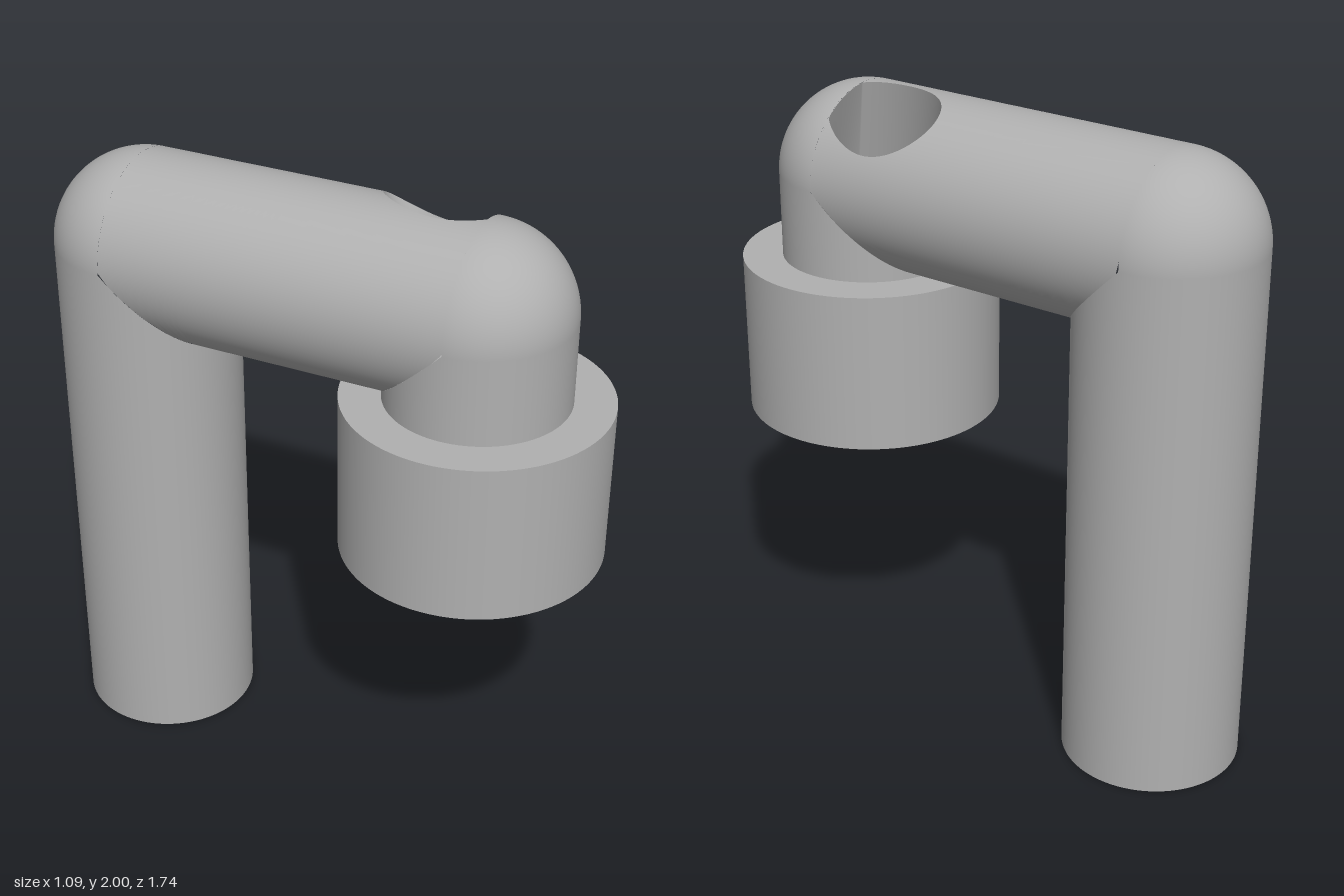
import * as THREE from 'three';
import { mergeGeometries } from 'three/addons/utils/BufferGeometryUtils.js';
import { ParametricGeometry } from 'three/addons/geometries/ParametricGeometry.js';

const R = 0.285;                 // pipe radius
const AXIS_Y = 1.715;            // height of the horizontal arm
const REAR = { x: -0.265, z: -0.585 };
const FRONT = { x: 0.132, z: 0.457 };
const L = Math.hypot(FRONT.x - REAR.x, FRONT.z - REAR.z);
const TURN = Math.atan2(FRONT.x - REAR.x, FRONT.z - REAR.z);

// World x, z to the arm's frame, where +z runs from the rear to the front elbow
function toLocal(x, z) {
  const dx = x - REAR.x, dz = z - REAR.z, c = Math.cos(TURN), s = Math.sin(TURN);
  return { x: dx * c - dz * s, z: dx * s + dz * c };
}

// Walk round the square [-1, 1] x [-1, 1], anticlockwise from one corner
function square(u) {
  const side = Math.min(3, Math.floor(u * 4)), f = (u * 4 - side) * 2 - 1;
  return [[1, f], [-f, 1], [-1, -f], [f, -1]][side];
}

// Rim of the slanted drilled opening, in the arm's frame
function rim(a) {
  const p = toLocal(
    0.18 + 0.141 * (1 + 0.12 * Math.sin(a)) * Math.cos(a),
    0.257 + 0.196 * Math.sin(a) + 0.035 * Math.cos(a));
  return { x: p.x, z: Math.min(p.z, L - 0.003) };
}

export function createModel() {
  const model = new THREE.Group();
  const grey = new THREE.MeshStandardMaterial({ color: 0xb0b0b0 });
  grey.name = 'grey';

  const pipe = new THREE.Group();
  pipe.name = 'bentPipe';
  pipe.position.set(REAR.x, AXIS_Y, REAR.z);
  pipe.rotation.y = TURN;
  model.add(pipe);

  const add = (parent, name, geometry) => {
    const mesh = new THREE.Mesh(geometry, grey);
    mesh.name = name;
    parent.add(mesh);
    return mesh;
  };

  // Arm: a tube skin stretched from the opening's rim to its mitred ends
  const centre = toLocal(0.18, 0.257);
  const midAngle = Math.asin(centre.x / R);
  add(pipe, 'arm', new ParametricGeometry((u, v, target) => {
    const [px, pz] = square(u);
    const hole = rim(Math.atan2(pz, px));
    const outerZ = pz < 0 ? centre.z * (1 + pz) : centre.z + (L - centre.z) * pz;
    const angle = THREE.MathUtils.lerp(Math.asin(hole.x / R), midAngle + Math.PI * px, v);
    const along = THREE.MathUtils.lerp(hole.z, outerZ, v) / L;
    const mitre = R * Math.max(0, -Math.cos(angle));
    target.set(R * Math.sin(angle), R * Math.cos(angle), mitre + along * (L - 2 * mitre));
  }, 192, 32));

  // Wall of the opening, leading down into the collar's bore
  const boreTop = 1.3, boreR = 0.165;
  add(pipe, 'openingWall', new ParametricGeometry((u, v, target) => {
    const [px, pz] = square(u);
    const a = Math.atan2(pz, px), top = rim(a);
    const low = toLocal(FRONT.x + boreR * Math.cos(a), FRONT.z + boreR * Math.sin(a));
    const topY = Math.sqrt(R * R - top.x * top.x);
    target.set(
      THREE.MathUtils.lerp(low.x, top.x, v),
      THREE.MathUtils.lerp(boreTop - AXIS_Y, topY, v),
      THREE.MathUtils.lerp(low.z, top.z, v));
  }, 192, 12));

  // Upright pipes, cut at 45 degrees where they meet the arm, with rounded elbows
  for (const [name, z, dir, bottom] of [['rearPost', 0, -1, 0], ['frontPost', L, 1, 1.41]]) {
    add(pipe, name, new ParametricGeometry((u, v, target) => {
      const b = u * Math.PI * 2;
      const top = Math.min(0, dir * R * Math.cos(b));
      target.set(R * Math.sin(b), THREE.MathUtils.lerp(bottom - AXIS_Y, top, v), z + R * Math.cos(b));
    }, 96, 4));
    const dome = new THREE.SphereGeometry(R, 48, 24, dir > 0 ? 0 : Math.PI, Math.PI, 0, Math.PI / 2);
    add(pipe, name + 'Elbow', dome.translate(0, 0, z));
  }
  add(pipe, 'rearPostBase', new THREE.CircleGeometry(R, 96).rotateX(Math.PI / 2).translate(0, -AXIS_Y, 0));

  // Collar with a stepped bore; each profile segment keeps its own sharp edges
  const profile = [
    [boreR, boreTop], [boreR, 1.065], [0.228, 1.065], [0.228, 0.925],
    [0.413, 0.925], [0.413, 1.44], [0.2, 1.44],
  ].map(([x, y]) => new THREE.Vector2(x, y));
  const bands = profile.slice(1).map((p, i) => new THREE.LatheGeometry([profile[i], p], 96));
  add(model, 'collar', mergeGeometries(bands)).position.set(FRONT.x, 0, FRONT.z);

  return model;
}
